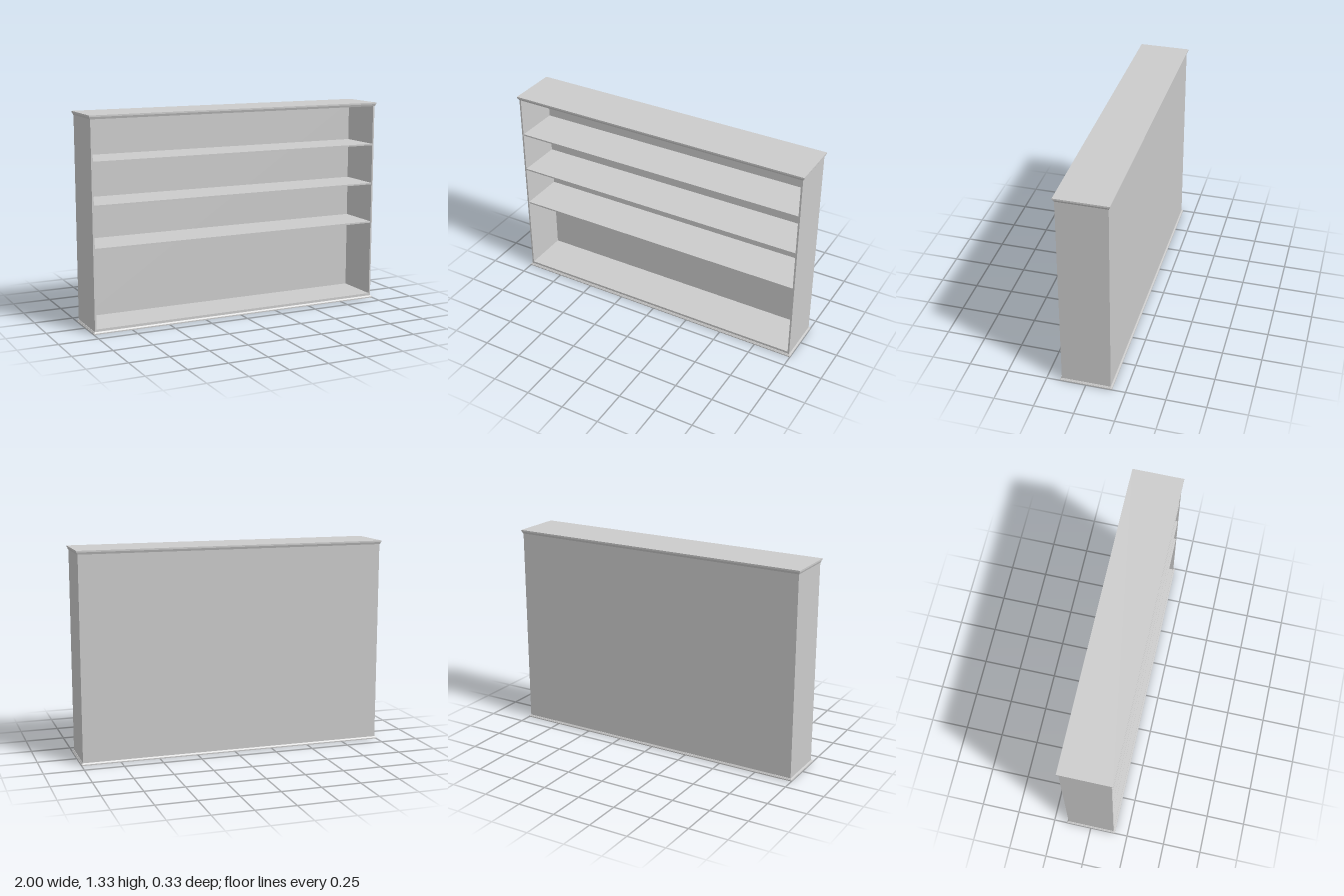
import * as THREE from 'three';

const material = new THREE.MeshStandardMaterial({ color: 0xcccccc, flatShading: true });

// carcass half width, half depth, board thickness
const W = 0.99, D = 0.155, T = 0.011;

export function createModel() {
  const group = new THREE.Group();

  // box given by its lower and upper bounds
  function board(name, [x0, x1], [y0, y1], [z0, z1]) {
    const mesh = new THREE.Mesh(new THREE.BoxGeometry(x1 - x0, y1 - y0, z1 - z0), material);
    mesh.position.set((x0 + x1) / 2, (y0 + y1) / 2, (z0 + z1) / 2);
    mesh.name = name;
    group.add(mesh);
  }

  // moulding layer round the carcass, overhanging by different amounts below and above
  function moulding(name, y0, y1, overBottom, overTop) {
    const geo = new THREE.BoxGeometry(2, y1 - y0, 2);
    const p = geo.attributes.position;
    for (let i = 0; i < p.count; i++) {
      const over = p.getY(i) > 0 ? overTop : overBottom;
      p.setX(i, p.getX(i) * (W + over));
      p.setZ(i, p.getZ(i) * (D + over));
    }
    geo.computeVertexNormals();
    const mesh = new THREE.Mesh(geo, material);
    mesh.position.y = (y0 + y1) / 2;
    mesh.name = name;
    group.add(mesh);
  }

  // base: plinth, sloped moulding and floor
  moulding('basePlinth', 0, 0.007, 0.01, 0.01);
  moulding('baseMoulding', 0.007, 0.015, 0.008, 0.002);
  board('floor', [-W + T, W - T], [0.015, 0.03], [-D + T, D - 0.001]);

  // side and back panels
  board('leftSide', [W - T, W], [0.015, 1.309], [-D, D]);
  board('rightSide', [-W, -W + T], [0.015, 1.309], [-D, D]);
  board('backPanel', [-W + T, W - T], [0.015, 1.309], [-D, -D + T]);

  // shelves
  for (const y of [0.531, 0.794, 1.058]) {
    board('shelf', [-W + T, W - T], [y - 0.01, y], [-D + T, D - 0.002]);
  }

  // cornice: sloped moulding under a flat top
  moulding('corniceMoulding', 1.309, 1.323, 0.002, 0.007);
  moulding('corniceTop', 1.323, 1.333, 0.01, 0.01);

  return group;
}
